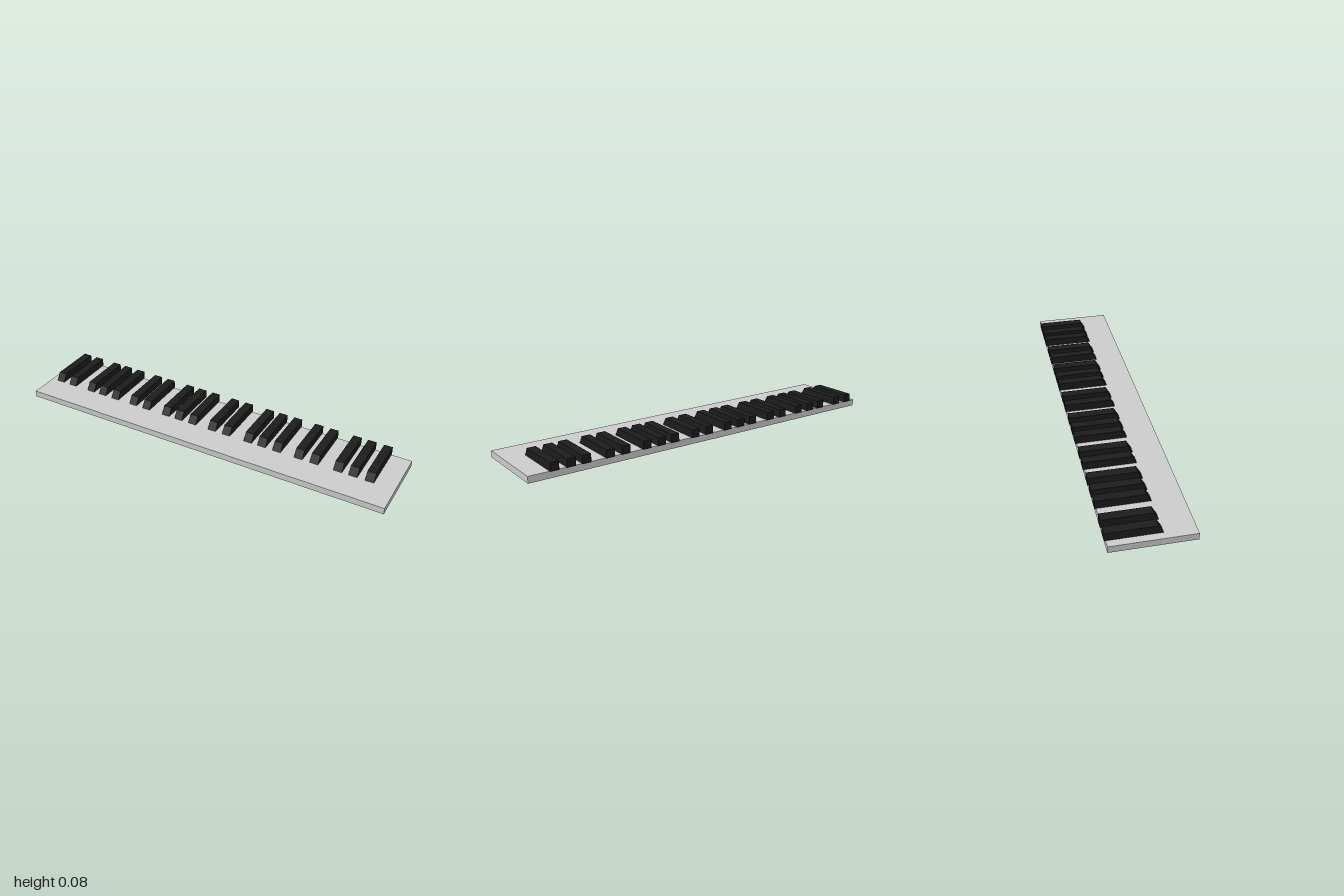
import * as THREE from 'three';

const WHITE_COUNT = 29;
const KEY_WIDTH = 2 / WHITE_COUNT;
const OCTAVE = 7 * KEY_WIDTH;
const BLACK_WIDTH = 0.044;
// Centres of the five black keys, measured from the right-hand edge of each octave's start
const BLACK_OFFSETS = [0.059, 0.142, 0.265, 0.342, 0.425];

// Side profile of a black key (shape x = z axis), with a sloped front
function blackKeyGeometry() {
  const profile = new THREE.Shape([
    new THREE.Vector2(-0.203, 0.033),
    new THREE.Vector2(0.056, 0.033),
    new THREE.Vector2(0.032, 0.075),
    new THREE.Vector2(-0.203, 0.075),
  ]);
  const geometry = new THREE.ExtrudeGeometry(profile, { depth: BLACK_WIDTH, bevelEnabled: false });
  geometry.translate(0, 0, -BLACK_WIDTH / 2);
  geometry.rotateY(-Math.PI / 2); // shape x -> +z, extrusion -> -x
  return geometry;
}

export function createModel() {
  const model = new THREE.Group();
  model.name = 'pianoKeys';
  const whiteMaterial = new THREE.MeshStandardMaterial({ color: 0xcccccc });
  const blackMaterial = new THREE.MeshStandardMaterial({ color: 0x1c1c1c });

  // White keys: a row of slabs side by side
  const whiteKeys = new THREE.Group();
  whiteKeys.name = 'whiteKeys';
  const whiteGeometry = new THREE.BoxGeometry(KEY_WIDTH, 0.034, 0.399);
  for (let i = 0; i < WHITE_COUNT; i++) {
    const key = new THREE.Mesh(whiteGeometry, whiteMaterial);
    key.name = `whiteKey${i + 1}`;
    key.position.set(-1 + (i + 0.5) * KEY_WIDTH, 0.017, 0.0035);
    whiteKeys.add(key);
  }

  // Black keys: groups of two and three in each of four octaves
  const blackKeys = new THREE.Group();
  blackKeys.name = 'blackKeys';
  const blackGeometry = blackKeyGeometry();
  for (let octave = 0; octave < 4; octave++) {
    BLACK_OFFSETS.forEach((offset, i) => {
      const key = new THREE.Mesh(blackGeometry, blackMaterial);
      key.name = `blackKey${octave * 5 + i + 1}`;
      key.position.x = -1 + octave * OCTAVE + offset;
      blackKeys.add(key);
    });
  }

  model.add(whiteKeys, blackKeys);
  return model;
}
